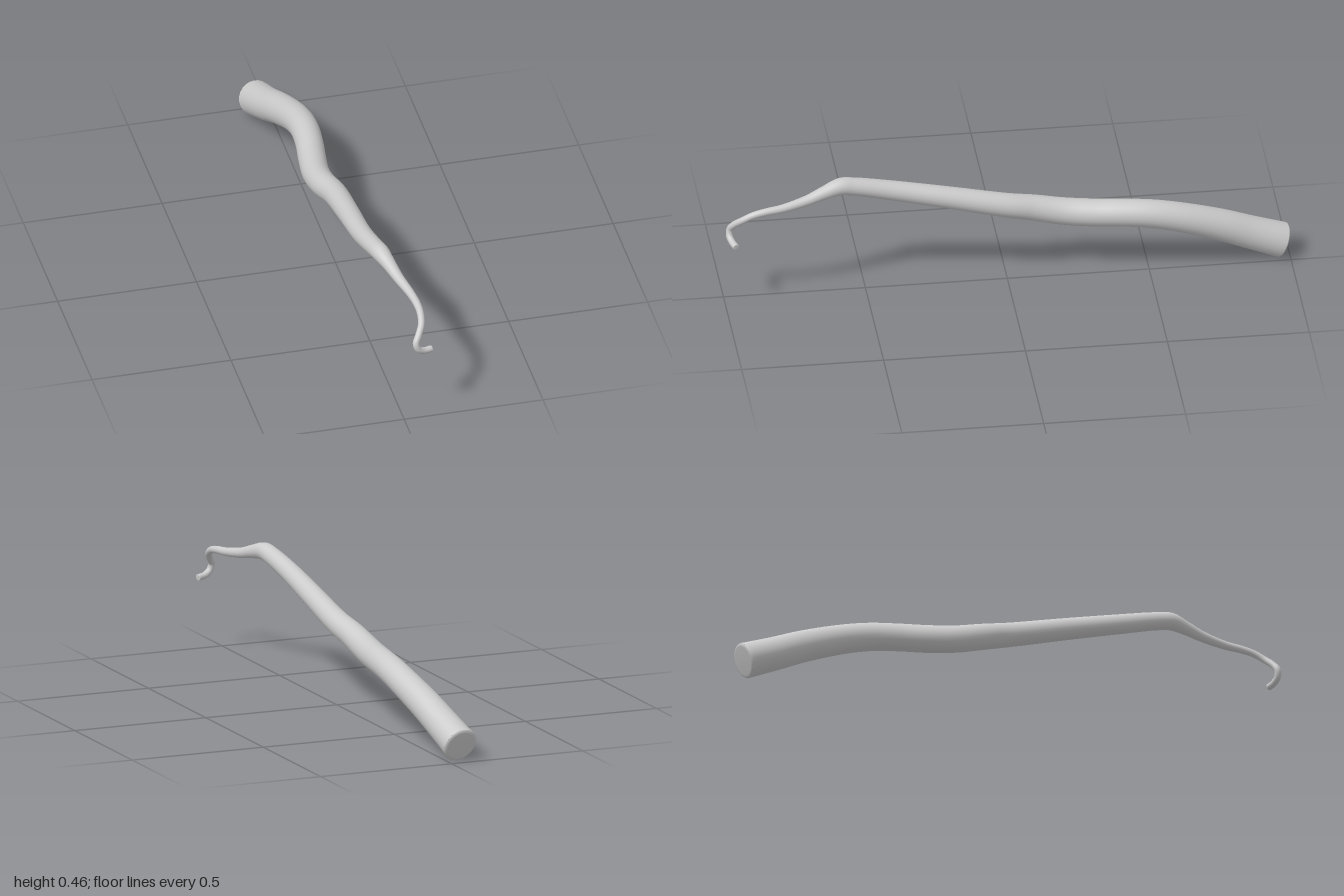
import * as THREE from 'three';

// Centre line and radius from thick base to hooked tip: x, y, z, radius
const STATIONS = [
  [-0.045, 0.068, -0.972, 0.063], [-0.031, 0.115, -0.86, 0.059], [-0.013, 0.165, -0.75, 0.056],
  [0.008, 0.22, -0.6, 0.052], [0.012, 0.243, -0.5, 0.05], [0.005, 0.25, -0.4, 0.049],
  [-0.009, 0.25, -0.3, 0.049], [-0.02, 0.257, -0.2, 0.048], [-0.018, 0.279, -0.1, 0.046],
  [-0.004, 0.305, 0, 0.043], [-0.002, 0.352, 0.2, 0.039], [-0.002, 0.396, 0.4, 0.035],
  [0.01, 0.43, 0.54, 0.032], [0.018, 0.438, 0.59, 0.031], [0.034, 0.426, 0.65, 0.024],
  [0.05, 0.41, 0.71, 0.019], [0.073, 0.397, 0.8, 0.015], [0.081, 0.392, 0.86, 0.0135],
  [0.082, 0.382, 0.905, 0.0125], [0.076, 0.361, 0.943, 0.012], [0.058, 0.334, 0.972, 0.012],
  [0.047, 0.312, 0.984, 0.012], [0.054, 0.289, 0.986, 0.012], [0.075, 0.275, 0.979, 0.012],
  [0.104, 0.271, 0.969, 0.012],
];
const SIDES = 24;
const RINGS = 160;

const path = new THREE.CatmullRomCurve3(STATIONS.map(([x, y, z]) => new THREE.Vector3(x, y, z)));
const radii = new THREE.CatmullRomCurve3(
  STATIONS.map((s) => new THREE.Vector3(s[3], 0, 0)), false, 'catmullrom');

// Tapered tube swept along the path with a twist-free frame
function taperedTube() {
  const positions = [], index = [];
  const normal = new THREE.Vector3(0, 1, 0);
  for (let i = 0; i <= RINGS; i++) {
    const t = i / RINGS;
    const centre = path.getPoint(t), tangent = path.getTangent(t);
    const r = radii.getPoint(t).x;
    normal.addScaledVector(tangent, -normal.dot(tangent)).normalize();
    const side = tangent.clone().cross(normal);
    for (let j = 0; j < SIDES; j++) {
      const a = (j / SIDES) * Math.PI * 2;
      const p = centre.clone()
        .addScaledVector(normal, r * Math.cos(a))
        .addScaledVector(side, r * Math.sin(a));
      positions.push(p.x, p.y, p.z);
      if (i < RINGS) {
        const k = (j + 1) % SIDES, row = i * SIDES, next = row + SIDES;
        index.push(row + j, row + k, next + j, row + k, next + k, next + j);
      }
    }
  }
  const geometry = new THREE.BufferGeometry();
  geometry.setAttribute('position', new THREE.Float32BufferAttribute(positions, 3));
  geometry.setIndex(index);
  geometry.computeVertexNormals();
  return geometry;
}

// Shallow rounded disc closing one end of the tube
function endCap(name, t, direction, height, material) {
  const r = radii.getPoint(t).x;
  const profile = [[1, 0], [0.95, 0.6], [0.82, 0.9], [0, 1]]
    .map(([x, y]) => new THREE.Vector2(x * r, y * height));
  const cap = new THREE.Mesh(new THREE.LatheGeometry(profile, SIDES), material);
  cap.name = name;
  cap.position.copy(path.getPoint(t));
  cap.quaternion.setFromUnitVectors(
    new THREE.Vector3(0, 1, 0), path.getTangent(t).multiplyScalar(direction));
  return cap;
}

export function createModel() {
  const group = new THREE.Group();
  group.name = 'hookedTendril';
  const material = new THREE.MeshStandardMaterial({ color: 0xcccccc });

  const stem = new THREE.Mesh(taperedTube(), material);
  stem.name = 'stem';
  group.add(stem);

  group.add(endCap('baseCap', 0, -1, 0.007, material));
  group.add(endCap('tipCap', 1, 1, 0.002, material));
  return group;
}
